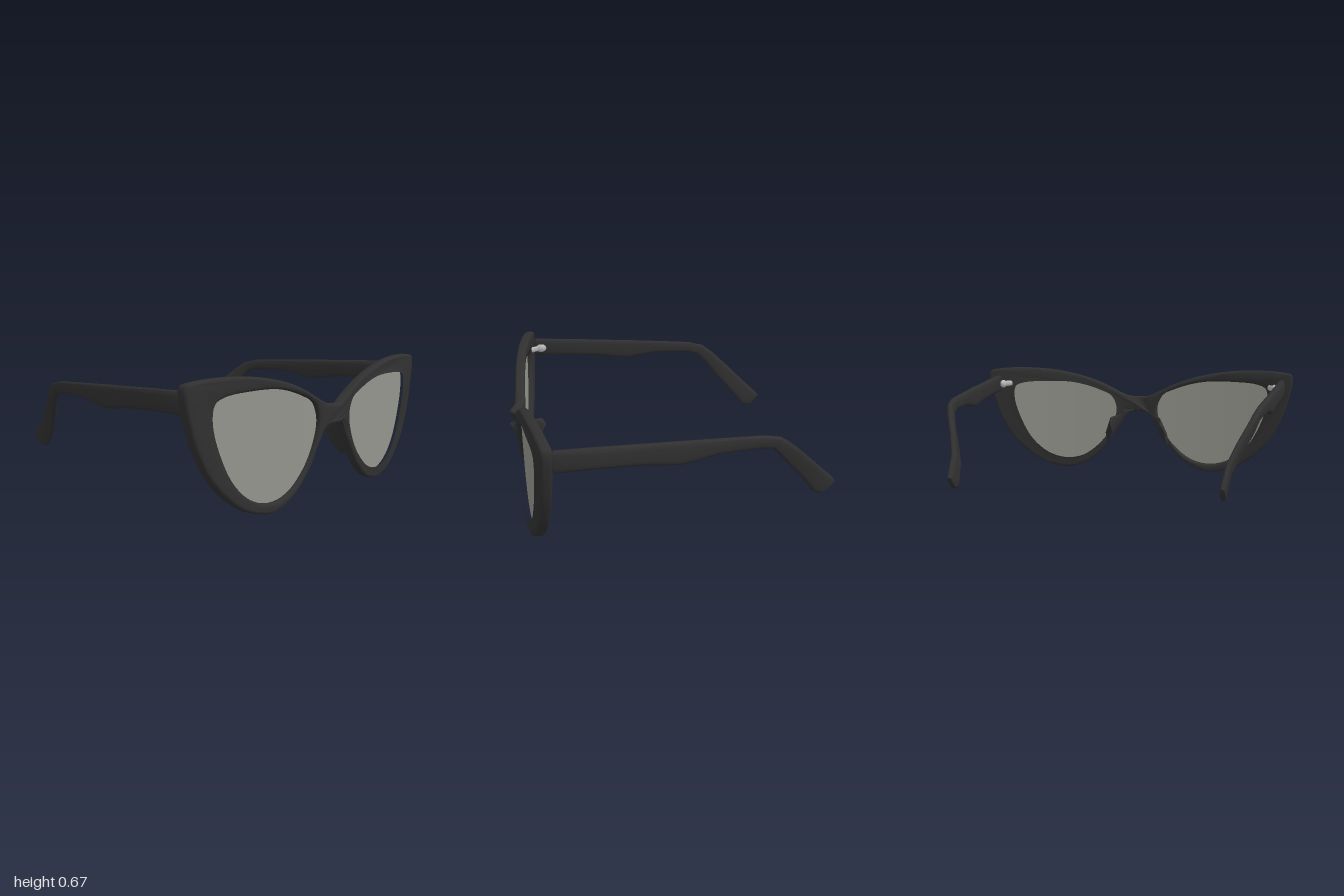
import * as THREE from 'three';
import { toCreasedNormals } from 'three/addons/utils/BufferGeometryUtils.js';
import { ConvexGeometry } from 'three/addons/geometries/ConvexGeometry.js';

const THICK = 0.055;

// x of the curved front surface at a given z, with the bridge arching forward
const frontX = z => 0.786 - 0.096 * z * z + 0.036 * Math.exp(-((z / 0.06) ** 2));

// Smooth closed outline through [z, y] points
function smoothLoop(points, count) {
  const curve = new THREE.CatmullRomCurve3(points.map(p => new THREE.Vector3(p[0], p[1], 0)), true);
  return curve.getPoints(count).slice(0, count).map(p => new THREE.Vector2(p.x, p.y));
}

// Copy mirrored to the other side (z -> -z) with the corner order restored
function mirrorZ(geometry) {
  const g = geometry.index ? geometry.toNonIndexed() : geometry.clone();
  const p = g.attributes.position;
  const a = new THREE.Vector3(), b = new THREE.Vector3();
  g.scale(1, 1, -1);
  for (let i = 0; i < p.count; i += 3) {
    a.fromBufferAttribute(p, i + 1);
    b.fromBufferAttribute(p, i + 2);
    p.setXYZ(i + 1, b.x, b.y, b.z);
    p.setXYZ(i + 2, a.x, a.y, a.z);
  }
  return g;
}

// Half outline of the frame front: bridge top, wing tip, lower rim, bridge underside
const outerHalf = [
  [0.06, 0.49], [0.13, 0.52], [0.25, 0.578], [0.4, 0.628], [0.6, 0.665], [0.8, 0.675], [0.94, 0.667],
  [0.99, 0.655], [1, 0.63], [0.985, 0.525], [0.93, 0.35], [0.835, 0.19], [0.675, 0.055], [0.57, 0.015],
  [0.47, 0.003], [0.35, 0.04], [0.24, 0.13], [0.166, 0.235], [0.115, 0.305], [0.085, 0.355], [0.05, 0.38],
];
const holePoints = [
  [0.128, 0.405], [0.145, 0.47], [0.175, 0.51], [0.246, 0.543], [0.35, 0.577], [0.46, 0.597], [0.62, 0.6],
  [0.78, 0.587], [0.835, 0.56], [0.848, 0.48], [0.81, 0.34], [0.73, 0.19], [0.62, 0.093],
  [0.487, 0.053], [0.353, 0.08], [0.22, 0.19], [0.15, 0.31],
];

function frameGeometry() {
  const mirrored = outerHalf.map(([z, y]) => [-z, y]).reverse();
  const shape = new THREE.Shape(smoothLoop([...outerHalf, ...mirrored], 200));
  for (const s of [1, -1]) {
    shape.holes.push(new THREE.Path(smoothLoop(holePoints.map(([z, y]) => [s * z, y]), 72)));
  }
  const bevel = 0.014;
  const g = new THREE.ExtrudeGeometry(shape, {
    depth: THICK - 2 * bevel, bevelThickness: bevel, bevelSize: bevel, bevelOffset: -bevel, bevelSegments: 3,
  });
  // Turn to face +x and bend along the front curve
  const p = g.attributes.position;
  for (let i = 0; i < p.count; i++) {
    const z = -p.getX(i);
    p.setXYZ(i, frontX(z) - THICK + bevel + p.getZ(i), p.getY(i), z);
  }
  return g;
}

// Lens: rings shrinking to the middle of the opening, bent like the frame
function lensGeometry() {
  const loop = smoothLoop(holePoints, 72), n = loop.length, rings = 8;
  const cz = 0.5, cy = 0.36, pos = [], idx = [];
  for (let r = 0; r <= rings; r++) {
    const k = 1.01 * (1 - r / rings);
    for (const q of loop) {
      const z = cz + (q.x - cz) * k, y = cy + (q.y - cy) * k;
      pos.push(frontX(z) - 0.024, y, z);
    }
  }
  for (let r = 0; r < rings; r++) {
    for (let j = 0; j < n; j++) {
      const a = r * n + j, b = r * n + (j + 1) % n;
      idx.push(a, b, a + n);
      if (r < rings - 1) idx.push(b, b + n, a + n);
    }
  }
  const g = new THREE.BufferGeometry();
  g.setAttribute('position', new THREE.Float32BufferAttribute(pos, 3));
  g.setIndex(idx);
  return g;
}

// Temple stations: top x, top y, bottom x, bottom y, z, thickness
const templeStations = [
  [0.637, 0.618, 0.637, 0.52, 0.932, 0.034],
  [0.628, 0.623, 0.628, 0.514, 0.931, 0.045],
  [0.4, 0.615, 0.4, 0.511, 0.91, 0.043],
  [0.22, 0.607, 0.22, 0.503, 0.892, 0.042],
  [0.1, 0.602, 0.1, 0.488, 0.88, 0.04],
  [0.03, 0.599, 0.03, 0.482, 0.873, 0.04],
  [-0.05, 0.595, -0.05, 0.496, 0.865, 0.038],
  [-0.15, 0.59, -0.15, 0.514, 0.854, 0.037],
  [-0.38, 0.577, -0.36, 0.516, 0.828, 0.036],
  [-0.47, 0.557, -0.43, 0.502, 0.812, 0.036],
  [-0.53, 0.514, -0.487, 0.443, 0.788, 0.036],
  [-0.62, 0.432, -0.56, 0.355, 0.74, 0.034],
  [-0.72, 0.335, -0.645, 0.262, 0.692, 0.032],
  [-0.805, 0.257, -0.71, 0.18, 0.676, 0.031],
  [-0.825, 0.232, -0.745, 0.162, 0.674, 0.029],
  [-0.818, 0.218, -0.768, 0.168, 0.674, 0.024],
];

function templeGeometry() {
  const n = 20, pos = [], idx = [], last = templeStations.length - 1;
  const soft = v => Math.sign(v) * Math.abs(v) ** 0.6;
  for (const [tx, ty, bx, by, z, t] of templeStations) {
    for (let j = 0; j < n; j++) {
      const a = (j / n) * Math.PI * 2, h = soft(Math.sin(a)) / 2;
      pos.push((tx + bx) / 2 + (tx - bx) * h, (ty + by) / 2 + (ty - by) * h, z + soft(Math.cos(a)) * t / 2);
    }
  }
  for (let i = 0; i < last; i++) {
    for (let j = 0; j < n; j++) {
      const a = i * n + j, b = i * n + (j + 1) % n;
      idx.push(a, b, a + n, b, b + n, a + n);
    }
  }
  // End caps
  for (let j = 1; j < n - 1; j++) {
    idx.push(0, j + 1, j, last * n, last * n + j, last * n + j + 1);
  }
  const g = new THREE.BufferGeometry();
  g.setAttribute('position', new THREE.Float32BufferAttribute(pos, 3));
  g.setIndex(idx);
  return g;
}

// Leaf-shaped pad behind the inner rim
function nosePadGeometry() {
  return new ConvexGeometry([
    [0.618, 0.32, 0.165], [0.64, 0.36, 0.165], [0.665, 0.355, 0.135], [0.735, 0.37, 0.105], [0.735, 0.33, 0.11],
    [0.645, 0.27, 0.19], [0.68, 0.25, 0.207], [0.72, 0.19, 0.205], [0.705, 0.17, 0.2], [0.735, 0.2, 0.19],
    [0.65, 0.26, 0.155], [0.735, 0.34, 0.15],
  ].map(p => new THREE.Vector3(...p)));
}

export function createModel() {
  const model = new THREE.Group();
  model.name = 'sunglasses';
  const material = (name, color, extra = {}) =>
    Object.assign(new THREE.MeshStandardMaterial({ color, ...extra }), { name });
  const black = material('blackPlastic', 0x303030);
  const glass = material('greyLens', 0x94948d, { side: THREE.DoubleSide });
  const metal = material('silverMetal', 0xb4b4b4);

  const add = (name, geometry, mat, crease = 0.7) => {
    const mesh = new THREE.Mesh(toCreasedNormals(geometry, crease), mat);
    mesh.name = name;
    model.add(mesh);
  };
  const addPair = (name, geometry, mat, crease) => {
    add(name + 'A', geometry, mat, crease);
    add(name + 'B', mirrorZ(geometry), mat, crease);
  };

  add('frameFront', frameGeometry(), black);
  addPair('lens', lensGeometry(), glass);
  addPair('temple', templeGeometry(), black);
  addPair('nosePad', nosePadGeometry(), black, 0.8);

  // Hinges: a rounded knuckle and an arm reaching the frame
  const knuckle = new THREE.SphereGeometry(1, 16, 10).scale(0.034, 0.026, 0.02).translate(0.6, 0.57, 0.888);
  const arm = new THREE.CapsuleGeometry(0.011, 0.06, 4, 10).rotateZ(Math.PI / 2).rotateY(0.6)
    .scale(1, 1.6, 1).translate(0.637, 0.57, 0.873);
  addPair('hingeKnuckle', knuckle, metal);
  addPair('hingeArm', arm, metal);
  return model;
}
